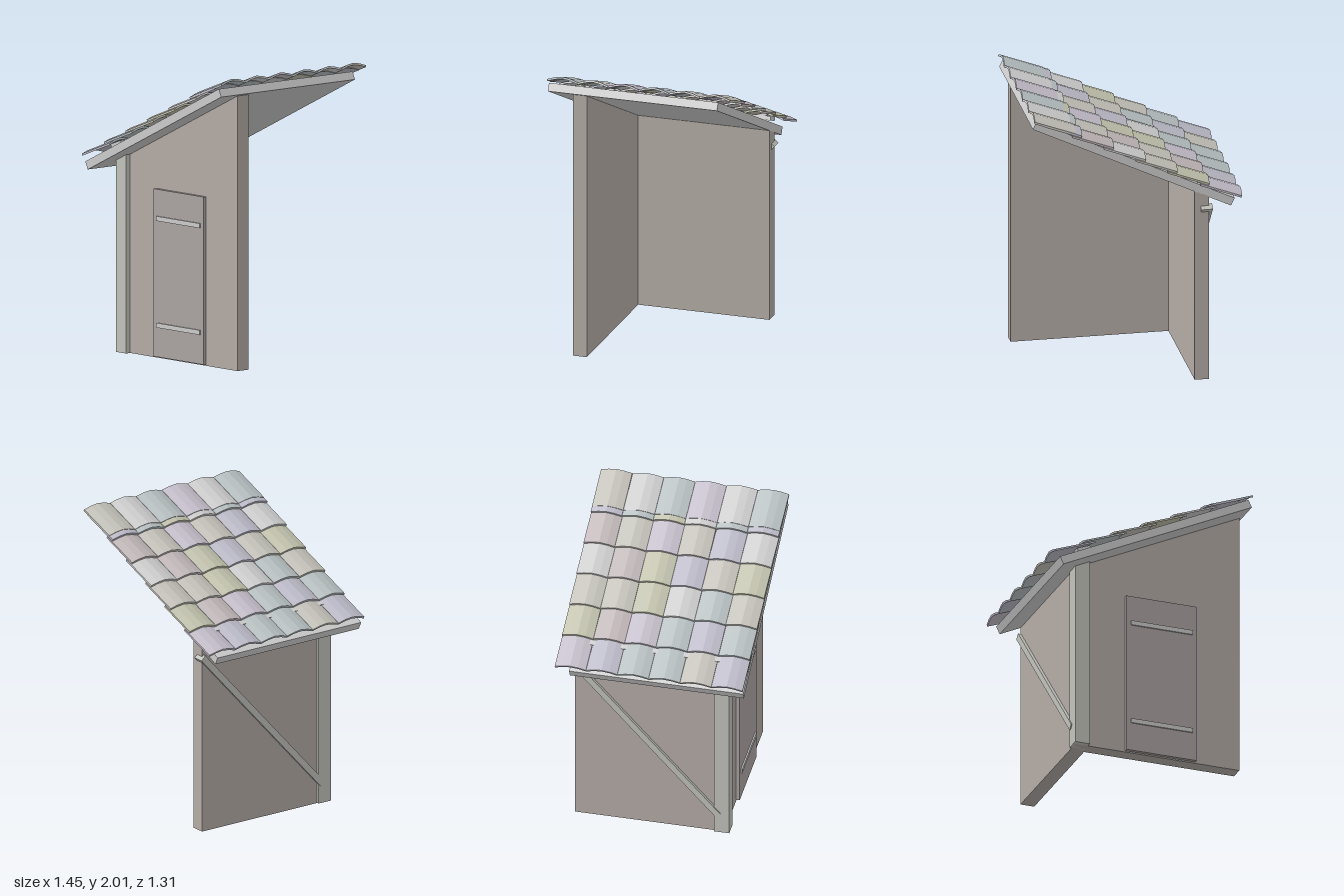
import * as THREE from 'three';

const mat = (color) => new THREE.MeshStandardMaterial({ color, flatShading: true });
const wallMat = mat(0xb3aba5), doorMat = mat(0xaaa3a1), postMat = mat(0xc2c2bb), greyMat = mat(0xcccccc);

const SLOPE = 0.476, PITCH = Math.atan(SLOPE);
// height of the roof board's underside at x
const underside = (x) => 1.564 + SLOPE * x;

// upright slab from x0 to x1 and z0 to z1 whose top follows the roof pitch
function slopedBlock(name, x0, x1, z0, z1, material, lift = 0.005) {
  const s = new THREE.Shape();
  s.moveTo(x0, 0);
  s.lineTo(x1, 0);
  s.lineTo(x1, underside(x1) + lift);
  s.lineTo(x0, underside(x0) + lift);
  s.closePath();
  const g = new THREE.ExtrudeGeometry(s, { depth: z1 - z0, bevelEnabled: false });
  g.translate(0, 0, z0);
  const m = new THREE.Mesh(g, material);
  m.name = name;
  return m;
}

function box(name, w, h, d, x, y, z, material) {
  const m = new THREE.Mesh(new THREE.BoxGeometry(w, h, d), material);
  m.position.set(x, y, z);
  m.name = name;
  return m;
}

// shallow arched tile running along +x from its lower end
function tileGeometry(width, length) {
  const rise = 0.026, thick = 0.014, steps = [-1, -0.5, 0, 0.5, 1];
  const arch = (t) => rise * (1 - Math.pow(Math.abs(t), 1.6));
  const lower = steps.map((t) => new THREE.Vector2(t * width / 2, arch(t)));
  const upper = steps.map((t) => new THREE.Vector2(t * width / 2, arch(t) + thick)).reverse();
  const g = new THREE.ExtrudeGeometry(new THREE.Shape([...lower, ...upper]), { depth: length, bevelEnabled: false });
  g.rotateY(Math.PI / 2);
  return g;
}

function seeded(seed) {
  return () => {
    seed = (seed * 16807) % 2147483647;
    return seed / 2147483647;
  };
}

export function createModel() {
  const model = new THREE.Group();
  model.name = 'leanToShed';

  // two walls meeting in an L, with a corner post
  model.add(slopedBlock('frontWall', -0.51, 0.68, 0.38, 0.48, wallMat));
  model.add(slopedBlock('sideWall', -0.51, -0.41, -0.56, 0.38, wallMat));
  model.add(slopedBlock('cornerPost', -0.525, -0.42, 0.41, 0.517, postMat));

  // door with two strap hinges
  model.add(box('door', 0.51, 1.15, 0.03, 0.105, 0.585, 0.49, doorMat));
  for (const y of [0.228, 0.96]) model.add(box('doorStrap', 0.445, 0.032, 0.03, 0.107, y, 0.5, greyMat));

  // diagonal brace across the outside of the side wall
  const a = new THREE.Vector2(-0.565, 1.255), b = new THREE.Vector2(0.44, 0.14);
  const brace = box('diagonalBrace', 0.08, 0.045, a.distanceTo(b), -0.492, (a.y + b.y) / 2, (a.x + b.x) / 2, postMat);
  brace.rotation.x = Math.atan2(a.y - b.y, b.x - a.x);
  model.add(brace);

  // roof board and the batten above its lower edge
  const board = box('roofBoard', 1.515, 0.058, 1.21, 0.01, 1.6, 0.045, greyMat);
  board.rotation.z = PITCH;
  const batten = box('roofBatten', 0.1, 0.03, 1.12, -0.476, 1.432, 0, greyMat);
  batten.rotation.z = 0.36;
  model.add(board, batten);

  // overlapping rows of tiles, each tilted a little flatter than the roof
  const tiles = new THREE.Group();
  tiles.name = 'roofTiles';
  const colors = [0xc2bcc8, 0xc4c8c8, 0xc0c0ac, 0xb6bec0, 0xc6c6c6, 0xbab9c6, 0xc0b6b8, 0xbcc4b4, 0xc2c0b8];
  const tileMats = colors.map(mat);
  const rand = seeded(71);
  const columns = 6, pitch = 1.306 / columns;
  const geo = tileGeometry(pitch * 0.995, 0.305);
  for (const x of [-0.715, -0.49, -0.27, -0.05, 0.17, 0.39, 0.43]) {
    for (let c = 0; c < columns; c++) {
      const tile = new THREE.Mesh(geo, tileMats[Math.floor(rand() * tileMats.length)]);
      // the last two rows nearly coincide, so the upper one ends at the ridge
      if (x === 0.39) tile.scale.x = 0.9;
      tile.position.set(x, 1.337 + 0.465 * (x + 0.715), (c - (columns - 1) / 2) * pitch);
      tile.rotation.set((rand() - 0.5) * 0.02, (rand() - 0.5) * 0.012, 0.358);
      tile.name = 'roofTile';
      tiles.add(tile);
    }
  }
  model.add(tiles);
  return model;
}
